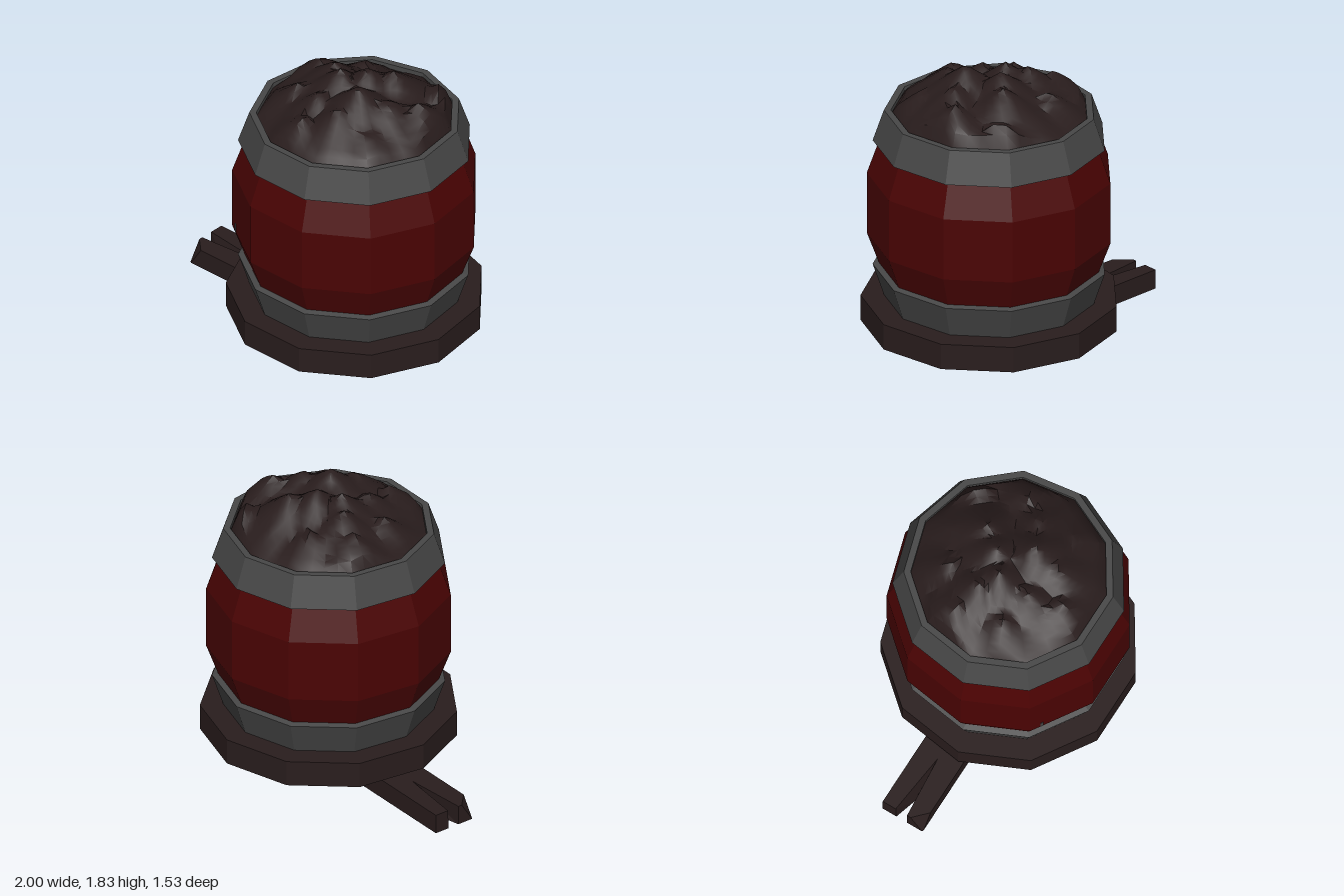
import * as THREE from 'three';
import { toCreasedNormals } from 'three/addons/utils/BufferGeometryUtils.js';

const SIDES = 11;
const WEDGE = (2 * Math.PI) / SIDES;
const CX = 0.225, CZ = 0.017;

export function createModel() {
  const model = new THREE.Group();
  model.name = 'barrel';

  const paint = (name, color) => {
    const m = new THREE.MeshStandardMaterial({ color });
    m.name = name;
    return m;
  };
  const wood = paint('dark brown', 0x291d1d);
  const red = paint('deep red', 0x4a0303);
  const metal = paint('dark grey', 0x474747);

  function add(name, geometry, material, crease = 0.15) {
    const mesh = new THREE.Mesh(toCreasedNormals(geometry, crease), material);
    mesh.name = name;
    model.add(mesh);
    return mesh;
  }

  // Eleven-sided turned part with one corner pointing backwards
  function turned(name, profile, material) {
    const points = profile.map(([r, y]) => new THREE.Vector2(r, y));
    const mesh = add(name, new THREE.LatheGeometry(points, SIDES, Math.PI), material);
    mesh.position.set(CX, 0, CZ);
  }

  // Round wooden base
  const base = new THREE.CylinderGeometry(0.783, 0.783, 0.165, SIDES, 1, false, Math.PI);
  add('base', base, wood).position.set(CX, 0.2325, CZ);

  // Bulging barrel wall and its two metal hoops
  turned('barrelWall', [[0.672, 0.53], [0.745, 0.73], [0.745, 1.13], [0.672, 1.34]], red);
  turned('lowerHoop', [[0, 0.316], [0.642, 0.316], [0.71, 0.522], [0.665, 0.534]], metal);
  turned('upperHoop', [[0.665, 1.333], [0.71, 1.345], [0.642, 1.545], [0.6, 1.545], [0.6, 1.45]], metal);

  // Small metal chip set flat in one wall panel
  const facing = Math.PI + 4.5 * WEDGE, apothem = 0.745 * Math.cos(WEDGE / 2);
  const chip = add('wallChip', new THREE.BoxGeometry(0.02, 0.055, 0.006), metal);
  chip.rotation.y = facing;
  chip.position.set(CX, 0.762, CZ);
  chip.translateZ(apothem).translateX(-0.13);

  // Heaped filling: a low dome broken by steep peaks, each given as x, z, height
  const peaks = [
    [0.115, 0.1, 1.84], [0, -0.1, 1.825], [-0.125, 0, 1.815], [-0.24, -0.08, 1.78],
    [-0.4, -0.13, 1.715], [0.31, -0.41, 1.7], [0.1, -0.22, 1.795], [0.405, -0.12, 1.745],
    [0.28, 0.02, 1.78], [-0.07, 0.4, 1.7], [0.1, 0.27, 1.765], [-0.2, -0.3, 1.7],
    [-0.33, 0.15, 1.7], [0.33, 0.25, 1.69], [-0.12, 0.2, 1.75], [0.03, -0.41, 1.66],
  ];
  function heapHeight(x, z, t) {
    let y = 1.51 + 0.18 * (1 - t * t);
    for (const [px, pz, top] of peaks) y = Math.max(y, top - 0.75 * Math.hypot(x - px, z - pz));
    return Math.min(y, 1.515 + 1.5 * (1 - t));
  }
  const RINGS = 14, STEPS = SIDES * 4;
  const positions = [], index = [];
  for (let j = 0; j <= RINGS; j++) {
    const t = 1 - j / RINGS;
    for (let k = 0; k < STEPS; k++) {
      const a = (k / STEPS) * 2 * Math.PI;
      const r = (0.602 * t * Math.cos(WEDGE / 2)) / Math.cos((a % WEDGE) - WEDGE / 2);
      const x = r * Math.sin(a + Math.PI), z = r * Math.cos(a + Math.PI);
      positions.push(x, heapHeight(x, z, t), z);
      if (j === RINGS) continue;
      const o = j * STEPS + k, oNext = j * STEPS + ((k + 1) % STEPS);
      index.push(o, oNext, o + STEPS);
      if (j < RINGS - 1) index.push(oNext, oNext + STEPS, o + STEPS);
    }
  }
  const heap = new THREE.BufferGeometry();
  heap.setAttribute('position', new THREE.Float32BufferAttribute(positions, 3));
  heap.setIndex(index);
  add('filling', heap, wood, 0.6).position.set(CX, 0, CZ);

  // Handle board with a split end and one chipped corner: top x, z then bottom x, z
  const outline = [
    [-1, -0.127, -1, -0.127], [0.225, -0.127, 0.225, -0.127], [0.225, 0.156, 0.225, 0.156],
    [-0.91, 0.156, -0.99, 0.156], [-1, 0.07, -1, 0.15],
    [-1, 0.045, -1, 0.045], [-0.59, 0.01, -0.86, 0.012], [-1, -0.035, -1, -0.03],
  ];
  const shape = new THREE.Shape(outline.map(([x, z]) => new THREE.Vector2(x, z)));
  const board = new THREE.ExtrudeGeometry(shape, { depth: 0.125, bevelEnabled: false });
  board.rotateX(Math.PI / 2).translate(0, 0.125, 0);
  const p = board.attributes.position;
  for (let i = 0; i < p.count; i++) {
    if (p.getY(i) > 0.01) continue;
    const corner = outline.find(([x, z]) => Math.hypot(x - p.getX(i), z - p.getZ(i)) < 0.001);
    p.setX(i, corner[2]).setZ(i, corner[3]);
  }
  add('handle', board, wood);

  return model;
}
